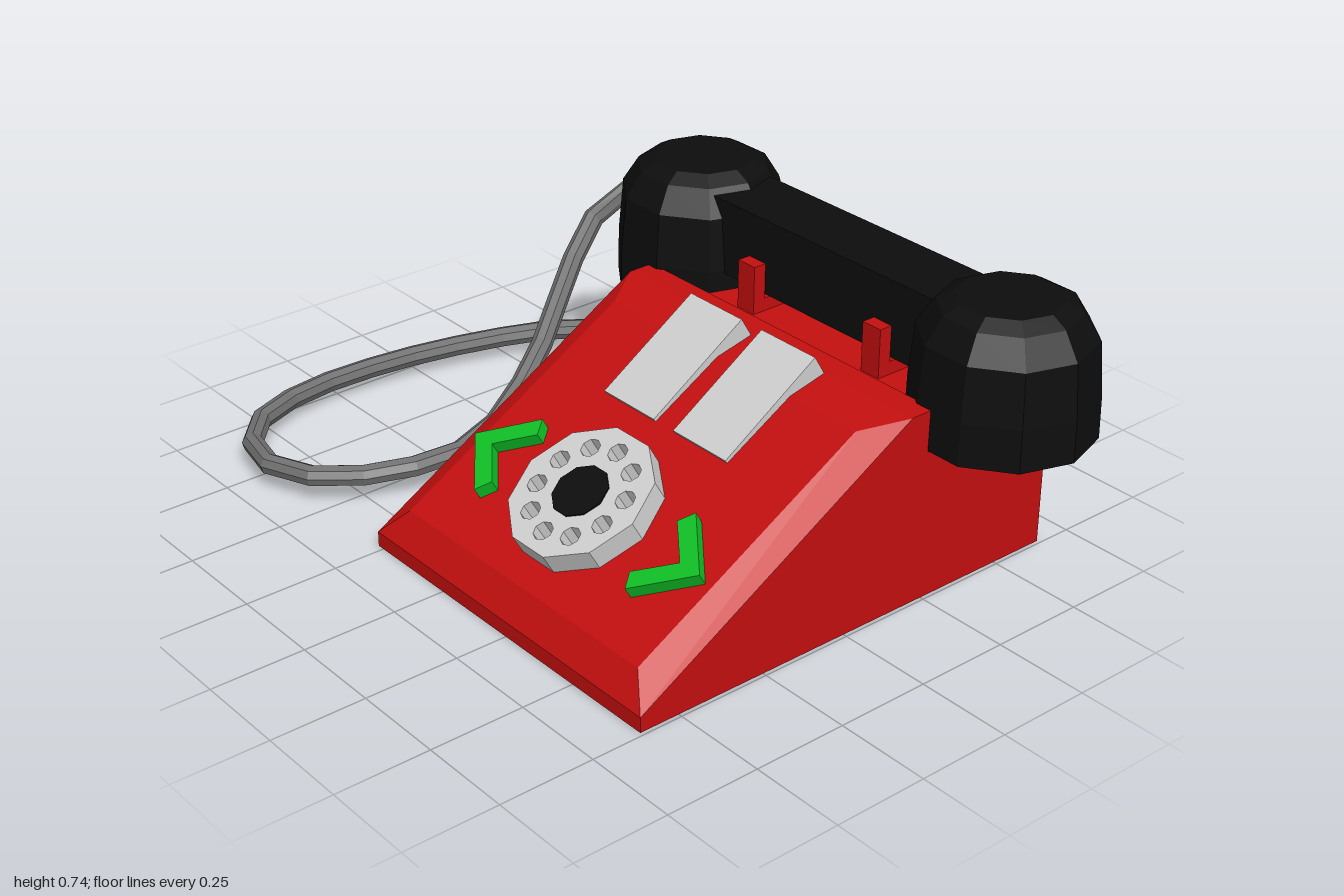
import * as THREE from 'three';

const mat = (name, color) => Object.assign(new THREE.MeshStandardMaterial({ color, flatShading: true }), { name });
const V = (x, y, z) => new THREE.Vector3(x, y, z);

export function createModel() {
  const model = new THREE.Group();
  const red = mat('red', 0xc40f0f);
  const black = mat('black', 0x0d0d0d);
  const white = mat('paleGrey', 0xcfcfcf);
  const green = mat('green', 0x0fbf26);
  const grey = mat('cordGrey', 0x707070);

  const add = (name, geometry, material, parent = model) => {
    const mesh = new THREE.Mesh(geometry, material);
    mesh.name = name;
    parent.add(mesh);
    return mesh;
  };
  const shapeOf = (pts) => new THREE.Shape(pts.map(([x, y]) => new THREE.Vector2(x, y)));
  const extrude = (shape, depth) => new THREE.ExtrudeGeometry(shape, { depth, bevelEnabled: false, curveSegments: 5 });
  const box = (name, w, h, d, x, y, z, material) =>
    add(name, new THREE.BoxGeometry(w, h, d), material).position.set(x, y, z);
  const ngon = (Type, r, n, cx = 0, cy = 0, start = 0) => {
    const pts = [];
    for (let i = 0; i < n; i++) {
      const a = start + (i / n) * Math.PI * 2;
      pts.push(new THREE.Vector2(cx + r * Math.cos(a), cy + r * Math.sin(a)));
    }
    return new Type(pts);
  };

  // Wedge body with a lowered shelf for the handset
  const zBack = -0.27, zFront = 0.74, zMid = 0.23;
  add('body', extrude(shapeOf([[-0.61, 0], [0.655, 0], [0.655, 0.455], [0.26, 0.455],
    [0.26, 0.505], [0.19, 0.505], [-0.61, 0.04]]), zFront - zBack), red).position.z = zBack;

  // Raised sloping panel with bevelled edges
  const base = [V(-0.61, 0.04, zFront), V(0.19, 0.505, zFront), V(0.19, 0.505, zBack), V(-0.61, 0.04, zBack)];
  const top = [V(-0.56, 0.113, 0.67), V(0.08, 0.48, 0.67), V(0.08, 0.48, -0.2), V(-0.56, 0.113, -0.2)];
  const corners = [];
  const quad = (a, b, c, d) => corners.push(a, b, c, a, c, d);
  quad(...top);
  for (let i = 0; i < 4; i++) {
    const j = (i + 1) % 4;
    quad(base[i], base[j], top[j], top[i]);
  }
  const panel = new THREE.BufferGeometry().setFromPoints(corners);
  panel.computeVertexNormals();
  add('slopingPanel', panel, red);

  // Group whose local z points out of the slope and local x runs up it
  const tilt = Math.atan2(0.367, 0.64), c = Math.cos(tilt), s = Math.sin(tilt);
  const slope = new THREE.Group();
  slope.name = 'controls';
  slope.setRotationFromMatrix(new THREE.Matrix4().makeBasis(V(c, s, 0), V(0, 0, -1), V(-s, c, 0)));
  slope.position.set(-0.34, 0.239, zMid);
  model.add(slope);

  // Ten-sided dial with ten finger holes
  const dial = ngon(THREE.Shape, 0.19, 10, 0, 0, Math.PI / 2);
  for (let i = 0; i < 10; i++) {
    const a = (i / 10) * Math.PI * 2;
    dial.holes.push(ngon(THREE.Path, 0.026, 8, 0.128 * Math.cos(a), 0.128 * Math.sin(a)));
  }
  add('dial', extrude(dial, 0.06), white, slope);
  add('dialCentre', extrude(ngon(THREE.Shape, 0.074, 10, 0, 0, Math.PI / 2), 0.004), black, slope).position.z = 0.06;

  // Chevrons on either side of the dial
  for (const turn of [0, Math.PI]) {
    const chevron = add('chevron', extrude(shapeOf([[0, 0.42], [-0.12, 0.285], [-0.08, 0.26],
      [0, 0.352], [0.08, 0.26], [0.12, 0.285]]), 0.035), green, slope);
    chevron.position.x = -0.01;
    chevron.rotation.z = turn;
  }

  // Two wide keys
  for (const z of [0.005, 0.263]) {
    add('key', extrude(shapeOf([[-0.118, 0.378], [-0.09, 0.34], [0.187, 0.505], [0.156, 0.556]]), 0.187), white)
      .position.z = z;
  }

  // Cradles, each a pair of prongs on a low bar
  const cx = 0.463;
  for (const z of [0.455, 0.01]) {
    box('cradleBar', 0.26, 0.04, 0.06, cx, 0.47, z, red);
    for (const side of [-1, 1]) box('cradleProng', 0.036, 0.135, 0.06, cx + side * 0.113, 0.5175, z, red);
  }

  // Handset: handle and two ten-sided cups
  box('handle', 0.19, 0.2, 0.96, cx, 0.602, 0.228, black);
  const cupProfile = [[0, 0.4], [0.228, 0.4], [0.226, 0.51], [0.214, 0.65], [0.172, 0.717], [0.13, 0.74], [0, 0.74]]
    .map(([r, y]) => new THREE.Vector2(r, y));
  for (const z of [0.764, -0.308]) {
    add('handsetCup', new THREE.LatheGeometry(cupProfile, 10), black).position.set(cx, 0, z);
  }

  // Cord looping from the handset to the back of the body
  const path = [[0.465, 0.57, -0.48], [0.46, 0.54, -0.62], [0.36, 0.46, -0.65], [0.2, 0.33, -0.575],
    [0.03, 0.2, -0.485], [-0.2, 0.09, -0.415], [-0.4, 0.075, -0.43], [-0.58, 0.07, -0.525],
    [-0.655, 0.066, -0.66], [-0.64, 0.063, -0.79], [-0.55, 0.06, -0.905], [-0.37, 0.058, -0.97],
    [-0.1, 0.058, -0.97], [0.18, 0.06, -0.91], [0.385, 0.065, -0.82], [0.5, 0.07, -0.7],
    [0.515, 0.075, -0.57], [0.48, 0.08, -0.25]].map((p) => V(...p));
  add('cord', new THREE.TubeGeometry(new THREE.CatmullRomCurve3(path), 26, 0.028, 8), grey);

  return model;
}
